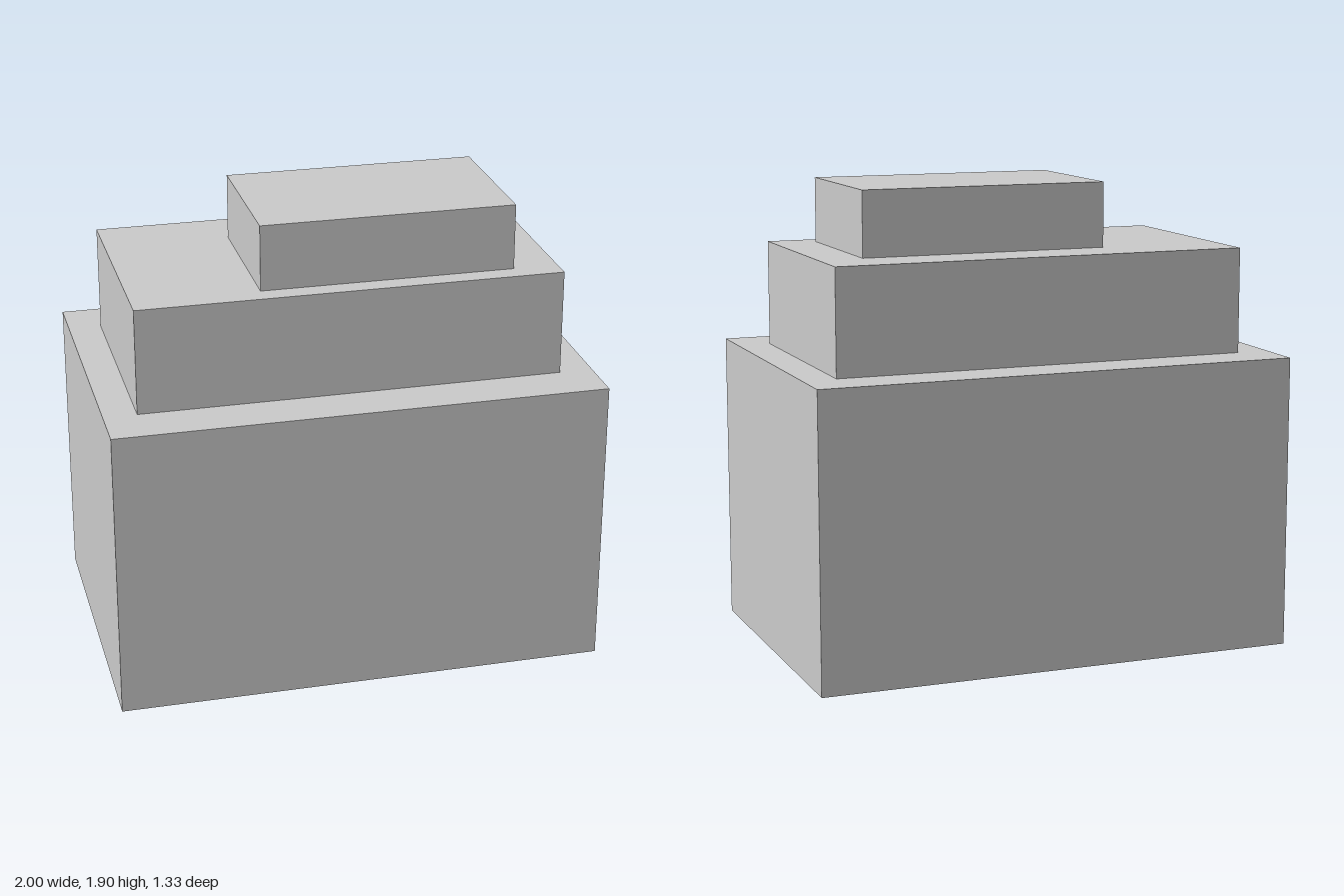
import * as THREE from 'three';

// Stacked blocks: [name, x range, y range, z range]
const TIERS = [
  ['baseBlock', [-1, 1], [0, 1.202], [-0.667, 0.667]],
  ['middleBlock', [-0.865, 0.863], [1.202, 1.635], [-0.47, 0.465]],
  ['topBlock', [-0.352, 0.68], [1.635, 1.903], [-0.25, 0.38]],
];

export function createModel() {
  const model = new THREE.Group();
  model.name = 'steppedBlocks';
  const material = new THREE.MeshStandardMaterial({ color: 0xcccccc, flatShading: true });

  for (const [name, ...ranges] of TIERS) {
    const size = ranges.map(([min, max]) => max - min);
    const centre = ranges.map(([min, max]) => (min + max) / 2);
    const block = new THREE.Mesh(new THREE.BoxGeometry(...size), material);
    block.name = name;
    block.position.set(...centre);
    model.add(block);
  }
  return model;
}
